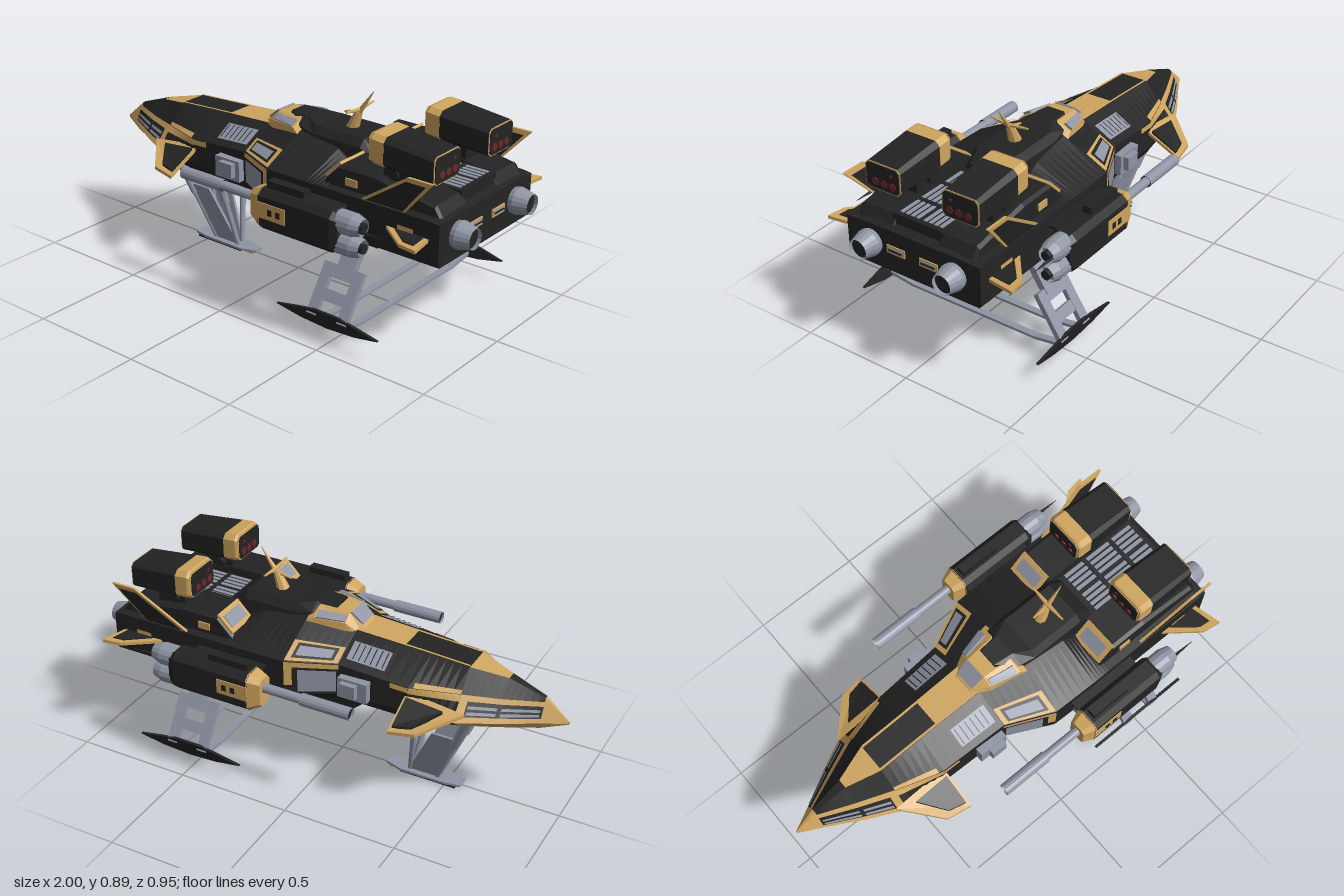
import * as THREE from 'three';

const mat = (name, color) => {
  const m = new THREE.MeshStandardMaterial({ color, flatShading: true, side: THREE.DoubleSide });
  m.name = name;
  return m;
};

export function createModel() {
  const model = new THREE.Group();
  model.name = 'spacecraft';
  const dark = mat('charcoal', 0x232323), gold = mat('gold', 0xcfa55f);
  const grey = mat('steel', 0x8f94a4), red = mat('red', 0x70252b);
  const mats = [dark, gold, grey, red];
  const V = (x, y, z) => new THREE.Vector3(x, y, z);
  const add = (name, geo, m) => {
    const mesh = new THREE.Mesh(geo, m);
    mesh.name = name;
    model.add(mesh);
    return mesh;
  };
  const both = fn => [1, -1].forEach(fn);

  // Skin equal rings of points, close the ends, and turn every face outwards
  function loft(name, m, rings, pick = null) {
    const lists = mats.map(() => []);
    const n = rings[0].length;
    const tri = (g, a, b, c) => lists[g].push([a, b, c]);
    for (let i = 0; i + 1 < rings.length; i++) for (let k = 0; k < n; k++) {
      const g = pick ? pick(i, k) : 0, l = (k + 1) % n;
      tri(g, rings[i][k], rings[i + 1][k], rings[i + 1][l]);
      tri(g, rings[i][k], rings[i + 1][l], rings[i][l]);
    }
    const end = rings[rings.length - 1];
    for (let k = 1; k + 1 < n; k++) {
      tri(0, rings[0][0], rings[0][k + 1], rings[0][k]);
      tri(0, end[0], end[k], end[k + 1]);
    }
    // Ring winding decides whether the skin faces in or out; caps follow the skin
    let vol = 0;
    const o = rings[0][0];
    lists.flat().forEach(([a, b, c]) => {
      vol += a.clone().sub(o).dot(b.clone().sub(o).cross(c.clone().sub(o)));
    });
    const geo = new THREE.BufferGeometry(), pts = [];
    lists.forEach((list, g) => {
      if (!list.length) return;
      if (pick) geo.addGroup(pts.length, list.length * 3, g);
      list.forEach(([a, b, c]) => pts.push(...(vol < 0 ? [a, c, b] : [a, b, c])));
    });
    geo.setFromPoints(pts);
    geo.computeVertexNormals();
    return add(name, geo, pick ? mats : m);
  }
  const box = (name, m, x0, x1, y0, y1, z0, z1) => {
    const b = add(name, new THREE.BoxGeometry(x1 - x0, y1 - y0, Math.abs(z1 - z0)), m);
    b.position.set((x0 + x1) / 2, (y0 + y1) / 2, (z0 + z1) / 2);
  };
  const rod = (name, m, a, b, ra, rb = ra, sides = 14, open = false) => {
    const d = b.clone().sub(a);
    const c = add(name, new THREE.CylinderGeometry(rb, ra, d.length(), sides, 1, open), m);
    c.position.copy(a).add(b).multiplyScalar(0.5);
    c.quaternion.setFromUnitVectors(V(0, 1, 0), d.normalize());
  };
  // Flat bar in the yz plane, w wide along x
  const beam = (name, m, a, b, w, t) => {
    const q = V(0, b.z - a.z, a.y - b.y).normalize().multiplyScalar(t / 2);
    loft(name, m, [a, b].map(p => [[-1, -1], [1, -1], [1, 1], [-1, 1]].map(([i, j]) =>
      p.clone().addScaledVector(q, j).add(V(i * w / 2, 0, 0)))));
  };
  // Thin plate: polygon with thickness along an offset
  const slab = (name, m, pts, off) => loft(name, m, [-0.5, 0.5].map(k => pts.map(p => p.clone().addScaledVector(off, k))));
  const oct = (x, y, z, hy, hz, c) => [0, 1, 2, 3, 4, 5, 6, 7].map(k => V(x,
    y + [-hy, -hy, -hy + c, hy - c, hy, hy, hy - c, -hy + c][k],
    z + [-hz + c, hz - c, hz, hz, hz - c, -hz + c, -hz, -hz][k]));

  // Hull half sections: x, bottom y, then [z, y] up the side
  const stations = [
    [-1, 0.455, [0.003, 0.455], [0.004, 0.46], [0.003, 0.465], [0.002, 0.467]],
    [-0.9, 0.43, [0.04, 0.43], [0.056, 0.46], [0.016, 0.537], [0.008, 0.552]],
    [-0.75, 0.42, [0.1, 0.42], [0.14, 0.46], [0.08, 0.54], [0.02, 0.604]],
    [-0.6, 0.415, [0.16, 0.415], [0.215, 0.46], [0.14, 0.55], [0.065, 0.634]],
    [-0.4, 0.41, [0.2, 0.41], [0.215, 0.45], [0.205, 0.555], [0.065, 0.645]],
    [-0.1, 0.41, [0.2, 0.41], [0.22, 0.44], [0.22, 0.58], [0.07, 0.66]],
    [0.1, 0.41, [0.305, 0.41], [0.315, 0.43], [0.315, 0.588], [0.11, 0.69]],
    [0.3, 0.41, [0.31, 0.41], [0.32, 0.425], [0.32, 0.59], [0.12, 0.665]],
    [0.4, 0.41, [0.31, 0.41], [0.32, 0.425], [0.32, 0.59], [0.13, 0.61]],
    [0.88, 0.41, [0.31, 0.41], [0.32, 0.42], [0.32, 0.59], [0.2, 0.6]],
    [0.92, 0.41, [0.31, 0.41], [0.318, 0.42], [0.318, 0.585], [0.2, 0.59]],
  ];
  const half = stations.map(([x, yb, ...p]) => [V(x, yb, 0), ...p.map(([z, y]) => V(x, y, z)), V(x, p[3][1], 0)]);
  const SUB = 6, rings = [];
  half.forEach((h, i) => {
    const next = half[i + 1];
    for (let k = 0; k < (next ? SUB : 1); k++) {
      const r = h.map((p, j) => next ? p.clone().lerp(next[j], k / SUB) : p);
      rings.push([...r, ...r.slice(1, 5).reverse().map(p => V(p.x, p.y, -p.z))]);
    }
  });
  loft('hull', dark, rings, (i, k) => {
    const s = Math.floor(i / SUB), strip = k < 5 ? k : 9 - k;
    return (s < 3 && (strip === 1 || strip === 2)) || (s === 0 && strip > 2) || (s === 2 && strip === 4) ? 1 : 0;
  });

  // Painted panel lying on hull patch (station i, strip j)
  function panel(name, m, i, j, u0, u1, v0, v1, off = 0.004) {
    both(s => {
      const at = (u, v) => half[i][j].clone().lerp(half[i + 1][j], u).lerp(half[i][j + 1].clone().lerp(half[i + 1][j + 1], u), v);
      const nrm = at(1, 0.5).sub(at(0, 0.5)).cross(at(0.5, 1).sub(at(0.5, 0))).normalize();
      if (nrm.z + nrm.y < 0) nrm.negate();
      const put = (u, v) => { const p = at(u, v).addScaledVector(nrm, off); p.z *= s; return p; };
      const pts = [];
      for (let k = 0; k < SUB; k++) {
        const a = u0 + (u1 - u0) * k / SUB, b = u0 + (u1 - u0) * (k + 1) / SUB;
        const [p, q, r, t] = [put(a, v0), put(b, v0), put(b, v1), put(a, v1)];
        pts.push(...(s > 0 ? [p, q, r, p, r, t] : [p, r, q, p, t, r]));
      }
      const geo = new THREE.BufferGeometry().setFromPoints(pts);
      geo.computeVertexNormals();
      add(name, geo, m);
    });
  }
  for (const [i, a, b] of [[1, 0, 1], [2, 0, 0.8]]) {
    panel('noseWindow', dark, i, 2, a, b, 0.22, 0.78);
    for (const v of [0.28, 0.5]) panel('noseWindowSlat', grey, i, 2, a + 0.06, b - 0.04, v, v + 0.12, 0.007);
  }
  panel('cheekStripe', gold, 3, 2, 0, 1, 0.75, 1);
  panel('cheekStripeUpper', gold, 3, 3, 0, 0.9, 0, 0.15);
  panel('cheekStripeTail', gold, 4, 2, 0, 0.25, 0.8, 1);
  panel('spineLine', gold, 3, 4, 0, 1, 0, 0.15);
  panel('spineLineAft', gold, 4, 4, 0, 0.27, 0, 0.15);
  panel('spinePatch', gold, 4, 4, 0.27, 1, 0, 1);
  panel('grille', grey, 4, 3, 0.38, 0.94, 0.2, 0.72);
  for (let k = 0; k < 6; k++) panel('grilleSlat', dark, 4, 3, 0.42 + k * 0.085, 0.435 + k * 0.085, 0.24, 0.68, 0.007);
  panel('intakeFrame', gold, 5, 3, 0.02, 1, 0.02, 0.48);
  panel('intake', dark, 5, 3, 0.12, 0.9, 0.08, 0.42, 0.007);
  panel('intakeSlat', grey, 5, 3, 0.18, 0.84, 0.13, 0.35, 0.01);
  panel('flareFrame', gold, 5, 2, 0, 1, 0.85, 1);
  panel('flareEdge', gold, 5, 2, 0.85, 1, 0.3, 0.85);
  panel('flarePlate', grey, 5, 2, 0.05, 0.75, 0.1, 0.78);
  panel('tailPatch', gold, 8, 2, 0.7, 0.85, 0.4, 0.7);

  // Belly bay
  loft('bellyBay', dark, [[-0.2, 0.395], [-0.1, 0.307], [0.52, 0.307], [0.54, 0.32]].map(([x, y]) =>
    [V(x, 0.42, -0.155), V(x, y + 0.01, -0.155), V(x, y, -0.145), V(x, y, 0.145), V(x, y + 0.01, 0.155), V(x, 0.42, 0.155)]));

  // Canopy and spine
  const arch = ([x, y, zt, zb]) => [V(x, 0.6, -zb), V(x, y - 0.03, -zb + 0.01), V(x, y, -zt), V(x, y, zt), V(x, y - 0.03, zb - 0.01), V(x, 0.6, zb)];
  loft('canopyFrame', gold, [[-0.13, 0.664, 0.04, 0.07], [-0.06, 0.722, 0.05, 0.1], [0.07, 0.728, 0.06, 0.13], [0.1, 0.71, 0.07, 0.14]].map(arch));
  loft('spine', dark, [[0.0, 0.735, 0.04, 0.07], [0.09, 0.735, 0.05, 0.11], [0.16, 0.722, 0.085, 0.12], [0.4, 0.722, 0.085, 0.12], [0.47, 0.67, 0.08, 0.12]].map(arch));
  slab('windscreen', grey, [V(-0.118, 0.68, -0.045), V(-0.065, 0.724, -0.05), V(-0.065, 0.724, 0.05), V(-0.118, 0.68, 0.045)], V(-0.004, 0.005, 0));
  both(s => {
    slab('sideWindow', grey, [V(-0.055, 0.714, s * 0.065), V(0.06, 0.72, s * 0.085), V(0.06, 0.702, s * 0.12), V(-0.055, 0.697, s * 0.09)], V(0, 0.008, s * 0.006));
  });
  box('rearSpine', dark, 0.45, 0.88, 0.59, 0.645, -0.12, 0.12);
  for (let k = 0; k < 4; k++) both(s => box('rearGrille', grey, 0.5, 0.86, 0.64, 0.648, s * (0.01 + k * 0.025), s * (0.026 + k * 0.025)));
  for (const x of [0.6, 0.74]) box('rearGrilleRib', dark, x, x + 0.02, 0.64, 0.65, -0.11, 0.11);

  // Antenna mast
  rod('mastBase', gold, V(0.28, 0.715, 0), V(0.31, 0.79, 0), 0.028, 0.016, 8);
  rod('mast', gold, V(0.3, 0.77, 0), V(0.38, 0.887, 0), 0.014, 0.002, 8);
  both(s => rod('mastArm', gold, V(0.315, 0.8, 0), V(0.315, 0.81, s * 0.09), 0.01, 0.004, 6));
  rod('mastSpar', gold, V(0.24, 0.775, 0), V(0.31, 0.79, 0), 0.004, 0.01, 6);

  both(s => {
    // Forward winglet
    slab('winglet', gold, [V(-0.64, 0.49, s * 0.19), V(-0.5, 0.445, s * 0.345), V(-0.39, 0.435, s * 0.362), V(-0.39, 0.52, s * 0.19)], V(0, 0.014, 0));
    slab('wingletPanel', dark, [V(-0.56, 0.492, s * 0.22), V(-0.475, 0.452, s * 0.325), V(-0.4, 0.445, s * 0.342), V(-0.4, 0.508, s * 0.22)], V(0, 0.026, 0));

    // Flank equipment
    box('flankBox', grey, -0.24, -0.11, 0.45, 0.54, s * 0.2, s * 0.25);
    box('flankDrum', grey, -0.2, -0.13, 0.47, 0.53, s * 0.25, s * 0.275);
    box('podMount', grey, 0.2, 0.34, 0.425, 0.54, s * 0.3, s * 0.375);
    box('podMountCover', dark, 0.18, 0.5, 0.54, 0.552, s * 0.3, s * 0.375);

    // Weapon pod
    const zp = s * 0.413;
    loft('pod', dark, [oct(0.18, 0.49, zp, 0.085, 0.056, 0.024), oct(0.53, 0.49, zp, 0.085, 0.056, 0.024), oct(0.56, 0.49, zp, 0.07, 0.044, 0.02)]);
    loft('podNose', gold, [oct(0.13, 0.495, zp, 0.06, 0.038, 0.015), oct(0.185, 0.49, zp, 0.086, 0.057, 0.024)]);
    box('podPatch', gold, 0.18, 0.32, 0.462, 0.527, s * 0.464, s * 0.473);
    for (const x of [0.245, 0.285]) box('podPort', dark, x - 0.01, x + 0.01, 0.482, 0.507, s * 0.47, s * 0.476);
    box('podHatch', dark, 0.2, 0.38, 0.57, 0.605, s * 0.391, s * 0.432);
    rod('barrel', grey, V(-0.26, 0.51, zp), V(-0.04, 0.51, zp), 0.026, 0.026, 14, true);
    rod('barrelBore', dark, V(-0.25, 0.51, zp), V(-0.045, 0.51, zp), 0.025);
    rod('barrelRoot', grey, V(-0.05, 0.51, zp), V(0.14, 0.51, zp), 0.02);
    for (const y of [0.53, 0.445]) {
      rod('podNozzle', grey, V(0.54, y, zp), V(0.61, y, zp), 0.047);
      rod('podNozzleTip', grey, V(0.61, y, zp), V(0.65, y, zp), 0.046, 0.034, 14, true);
      rod('podNozzleCore', dark, V(0.6, y, zp), V(0.655, y, zp), 0.02);
    }
    rod('podSpike', dark, V(0.64, 0.52, s * 0.43), V(0.75, 0.52, s * 0.43), 0.008, 0.001, 6);

    // Aft shoulder, its side mark and framed vent
    loft('shoulder', dark, [[0.36, 0.61], [0.43, 0.68], [0.6, 0.68], [0.87, 0.635], [0.9, 0.59]].map(([x, y]) =>
      [V(x, 0.57, s * 0.1), V(x, 0.57, s * 0.285), V(x, y - 0.01, s * 0.28), V(x, y, s * 0.265), V(x, y, s * 0.11)]));
    box('shoulderMark', gold, 0.465, 0.52, 0.61, 0.64, s * 0.279, s * 0.288);
    const vent = (a, b, z0, z1) => [a, b].flatMap((t, k) => (k ? [z1, z0] : [z0, z1]).map(z => V(0.362 + 0.07 * t, 0.618 + 0.07 * t, s * z)));
    slab('ventFrame', gold, vent(0, 1, 0.125, 0.275), V(-0.008, 0.008, 0));
    slab('vent', grey, vent(0.2, 0.8, 0.142, 0.258), V(-0.013, 0.013, 0));

    // Launcher
    const zl = s * 0.183;
    box('launcherMount', dark, 0.61, 0.74, 0.65, 0.73, s * 0.12, s * 0.24);
    rod('launcherPivot', dark, V(0.66, 0.69, s * 0.1), V(0.66, 0.69, s * 0.25), 0.022);
    loft('launcherFront', gold, [oct(0.565, 0.78, zl, 0.058, 0.088, 0.02), oct(0.575, 0.78, zl, 0.062, 0.092, 0.02), oct(0.63, 0.775, zl, 0.062, 0.092, 0.02)]);
    loft('launcherBody', dark, [oct(0.625, 0.775, zl, 0.062, 0.091, 0.02), oct(0.85, 0.757, zl, 0.056, 0.084, 0.015)]);
    for (const [x, y, d] of [[0.562, 0.78, -1], [0.85, 0.757, 1]]) {
      loft('launcherRim', gold, [oct(x, y, zl, 0.057, 0.084, 0.015), oct(x + d * 0.003, y, zl, 0.057, 0.084, 0.015)]);
      loft('launcherFace', dark, [oct(x, y, zl, 0.052, 0.079, 0.012), oct(x + d * 0.006, y, zl, 0.052, 0.079, 0.012)]);
      for (const z of [0.135, 0.177, 0.219]) rod('launchTube', red, V(x, y - 0.022, s * z), V(x + d * 0.009, y - 0.022, s * z), 0.016, 0.016, 8);
      rod('launcherLamp', red, V(x, y + 0.022, s * 0.14), V(x + d * 0.009, y + 0.022, s * 0.14), 0.008, 0.008, 6);
    }

    // Tail fins
    const fin = pts => pts.map(([x, y]) => V(x, y, s * (0.308 + (y - 0.59) * 0.19)));
    slab('tailFin', gold, fin([[0.56, 0.59], [0.79, 0.747], [0.9, 0.747], [0.76, 0.59]]), V(0, 0, 0.012));
    slab('tailFinPanel', dark, fin([[0.585, 0.594], [0.782, 0.728], [0.868, 0.728], [0.754, 0.594]]), V(0, 0, 0.018));
    const flat = pts => pts.map(([x, z]) => V(x, 0.51 + (z - 0.3) * 0.06, s * z));
    slab('sideFin', gold, flat([[0.66, 0.3], [0.82, 0.43], [0.9, 0.442], [0.87, 0.3]]), V(0, 0.014, 0));
    slab('sideFinPanel', dark, flat([[0.72, 0.32], [0.82, 0.405], [0.87, 0.41], [0.855, 0.32]]), V(0, 0.02, 0));

    // Main engines and tail plates
    rod('engine', grey, V(0.9, 0.512, s * 0.2), V(0.94, 0.512, s * 0.2), 0.05, 0.057, 18);
    rod('engineBell', grey, V(0.94, 0.512, s * 0.2), V(1, 0.512, s * 0.2), 0.057, 0.042, 18, true);
    rod('engineCore', dark, V(0.93, 0.512, s * 0.2), V(0.985, 0.512, s * 0.2), 0.04, 0.04, 18);
    box('tailPlate', gold, 0.918, 0.925, 0.492, 0.526, s * 0.035, s * 0.122);
    box('tailPlateInset', grey, 0.92, 0.928, 0.5, 0.518, s * 0.042, s * 0.115);
    box('tailPlateSlot', dark, 0.92, 0.931, 0.506, 0.512, s * 0.046, s * 0.111);

    // Front gear struts and side plate
    for (const [x0, x1] of [[-0.63, -0.46], [-0.395, -0.335]]) {
      const top = V(x0, 0.43, s * 0.1), foot = V(x1, 0.02, s * 0.015), mid = top.clone().lerp(foot, 0.5);
      rod('frontStrutSleeve', grey, top, mid, 0.022, 0.018, 10);
      rod('frontStrut', grey, mid, foot, 0.013, 0.011, 10);
    }
    slab('frontGearPlate', grey, [[-0.57, 0.27], [-0.45, 0.27], [-0.33, 0.02], [-0.47, 0.02]].map(([x, y]) =>
      V(x, y, s * (0.015 + (y - 0.02) * 0.207))), V(0, 0, 0.012));

    // Rear gear leg and ski
    const leg = (x, y) => V(x, y, s * (0.25 + (0.41 - y) * 0.64));
    beam('rearLegUpper', grey, leg(0.515, 0.43), leg(0.515, 0.27), 0.08, 0.03);
    beam('rearLegYoke', grey, leg(0.505, 0.29), leg(0.505, 0.245), 0.19, 0.022);
    beam('rearLegTie', grey, leg(0.505, 0.205), leg(0.505, 0.165), 0.15, 0.018);
    for (const x of [0.432, 0.578]) beam('rearLegFork', grey, leg(x, 0.28), leg(x, 0.11), 0.045, 0.022);
    rod('rearLegBrace', grey, V(0.47, 0.42, s * 0.22), leg(0.5, 0.28), 0.014, 0.012, 8);
    const ski = [[0.25, 0.098], [0.35, 0.12], [0.44, 0.138], [0.56, 0.138], [0.65, 0.12], [0.745, 0.098], [0.63, 0.076], [0.5, 0.067], [0.37, 0.076]];
    slab('ski', dark, ski.map(([x, y]) => V(x, y, s * (0.445 + (y - 0.14) * 0.2))), V(0, 0, 0.013));
    for (const x of [0.44, 0.57]) beam('crossBarEnd', grey, V(x, 0.088, s * 0.43), V(x, 0.07, s * 0.31), 0.03, 0.013);
  });
  for (const x of [0.44, 0.57]) beam('crossBar', grey, V(x, 0.07, -0.315), V(x, 0.07, 0.315), 0.03, 0.011);

  // Front gear foot
  slab('frontFoot', grey, [V(-0.57, 0.013, -0.03), V(-0.5, 0.012, -0.042), V(-0.3, 0.012, -0.042), V(-0.225, 0.013, -0.02),
    V(-0.225, 0.013, 0.02), V(-0.3, 0.012, 0.042), V(-0.5, 0.012, 0.042), V(-0.57, 0.013, 0.03)], V(0, 0.01, 0));
  box('footSole', dark, -0.55, -0.3, 0, 0.008, -0.038, 0.038);
  box('footHeel', gold, -0.3, -0.24, 0, 0.009, -0.025, 0.025);
  return model;
}
